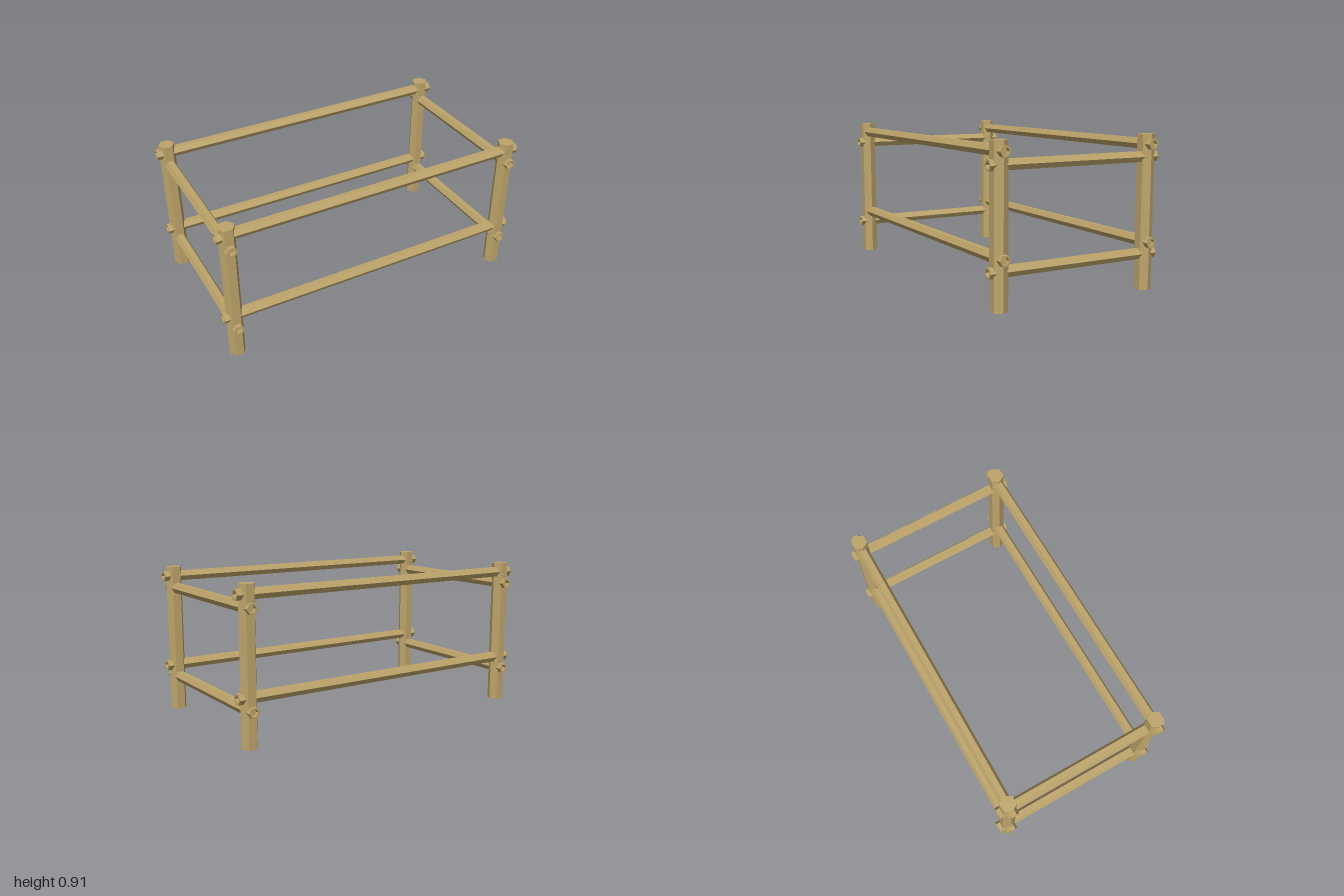
import * as THREE from 'three';

const HALF_PI = Math.PI / 2;

// Six-sided pole along y; corners point to z, or to x when phi is a quarter turn
function hexPole(points, phi) {
  const profile = points.map(([r, y]) => new THREE.Vector2(r, y));
  const geometry = new THREE.LatheGeometry(profile, 6, phi).toNonIndexed();
  geometry.computeVertexNormals();
  return geometry;
}

// Rail profile with a hollow socket in both ends
function railProfile(half, outer, inner, depth) {
  return [
    [0, depth - half], [inner, depth - half], [inner, -half], [outer, -half],
    [outer, half], [inner, half], [inner, half - depth], [0, half - depth],
  ];
}

export function createModel() {
  const model = new THREE.Group();
  model.name = 'poleFrame';
  const wood = new THREE.MeshStandardMaterial({ color: 0xbda469, flatShading: true });
  wood.name = 'tanWood';

  const postX = 0.93, postZ = 0.487;

  // Posts: closed on top, hollow at the foot
  const postGeometry = hexPole(
    [[0, 0.06], [0.036, 0.06], [0.036, 0], [0.05, 0], [0.05, 0.91], [0, 0.91]], HALF_PI);
  // Long rails run along x, short rails along z
  const longGeometry = hexPole(railProfile(1, 0.034, 0.022, 0.02), 0).rotateZ(HALF_PI);
  const shortGeometry = hexPole(railProfile(0.555, 0.034, 0.022, 0.025), HALF_PI).rotateX(HALF_PI);

  const add = (name, geometry, x, y, z) => {
    const mesh = new THREE.Mesh(geometry, wood);
    mesh.name = name;
    mesh.position.set(x, y, z);
    model.add(mesh);
  };

  for (const sx of [-1, 1]) {
    const side = sx > 0 ? 'left' : 'right';
    for (const sz of [-1, 1]) {
      add(`${side}${sz > 0 ? 'Front' : 'Back'}Post`, postGeometry, sx * postX, 0, sz * postZ);
    }
    add(`${side}LowerRail`, shortGeometry, sx * postX, 0.214, 0);
    add(`${side}UpperRail`, shortGeometry, sx * postX, 0.779, 0);
  }
  for (const sz of [-1, 1]) {
    const end = sz > 0 ? 'front' : 'back';
    add(`${end}LowerRail`, longGeometry, 0, 0.285, sz * postZ);
    add(`${end}UpperRail`, longGeometry, 0, 0.852, sz * postZ);
  }
  return model;
}
